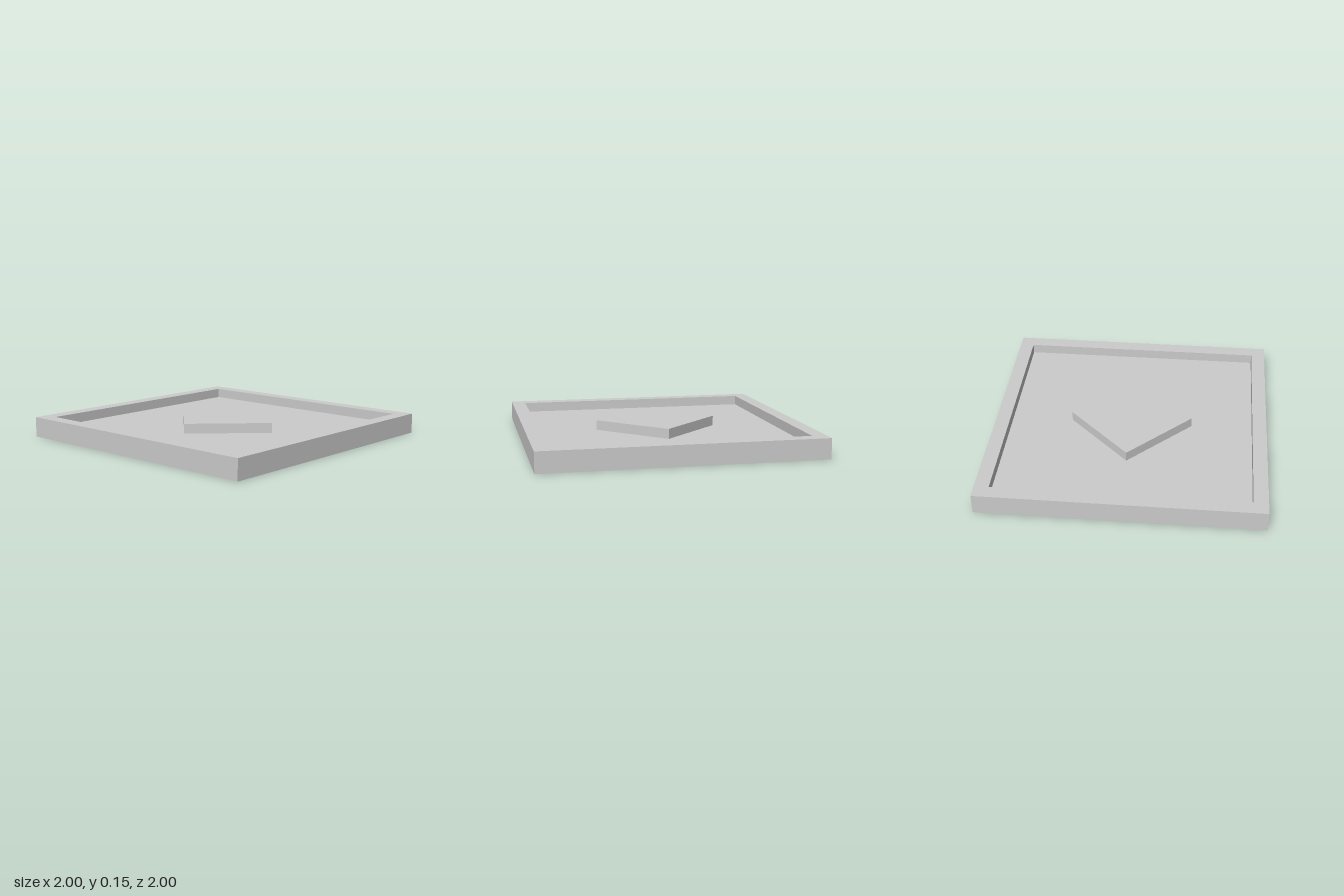
import * as THREE from 'three';

const HEIGHT = 0.147; // overall height
const FLOOR = 0.075; // level of the recessed floor
const INNER = 0.897; // half width of the recess
const DIAMOND = 0.447; // centre to corner of the raised diamond

export function createModel() {
  const group = new THREE.Group();
  group.name = 'squareTray';
  const material = new THREE.MeshStandardMaterial({ color: 0xcccccc, flatShading: true });

  // Square tray with rim and recessed floor: one profile turned in four steps
  const profile = [[0, 0], [1, 0], [1, HEIGHT], [INNER, HEIGHT], [INNER, FLOOR], [0, FLOOR]]
    .map(([half, y]) => new THREE.Vector2(half * Math.SQRT2, y));
  const trayGeometry = new THREE.LatheGeometry(profile, 4, Math.PI / 4).toNonIndexed();
  trayGeometry.computeVertexNormals();
  const tray = new THREE.Mesh(trayGeometry, material);
  tray.name = 'tray';
  group.add(tray);

  // Raised diamond in the middle, level with the rim
  const rise = HEIGHT - FLOOR;
  const diamond = new THREE.Mesh(new THREE.CylinderGeometry(DIAMOND, DIAMOND, rise, 4), material);
  diamond.name = 'raisedDiamond';
  diamond.position.y = FLOOR + rise / 2;
  group.add(diamond);

  return group;
}
